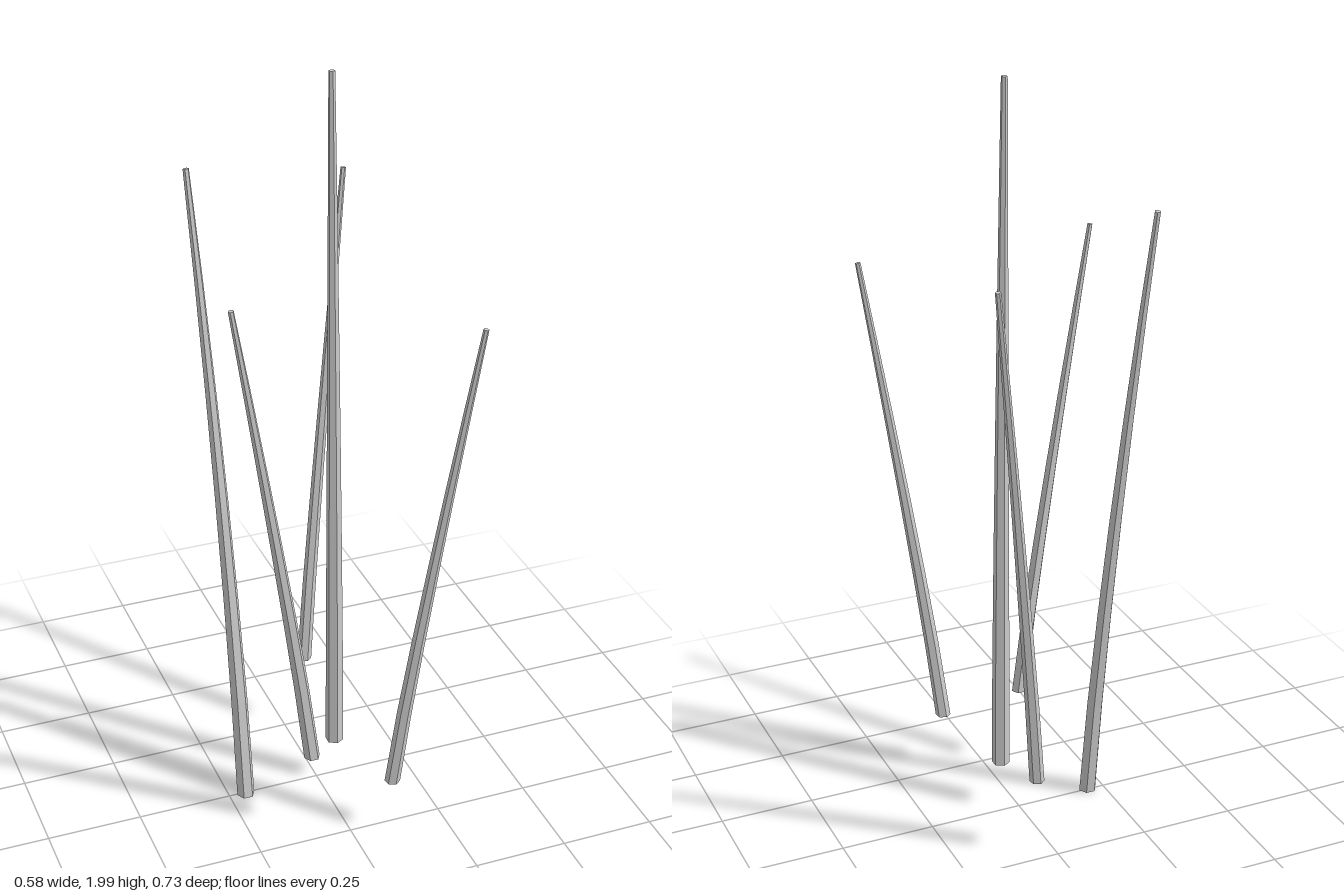
import * as THREE from 'three';

const material = new THREE.MeshStandardMaterial({ color: 0xcccccc, flatShading: true });
const UP = new THREE.Vector3(0, 1, 0);

// Tapered six-sided stalk; bendX and bendZ are the powers by which it leans towards its tip
function makeStalk({ base, tip, r0, r1, bendX = 1.1, bendZ = 1.1, turn }) {
  const a = new THREE.Vector3(...base);
  const d = new THREE.Vector3(...tip).sub(a);
  // By default one corner of the section points along the lean
  const start = turn ?? Math.atan2(d.x, d.z);
  const geometry = new THREE.CylinderGeometry(1, 1, 1, 6, 6, false, start);
  const pos = geometry.attributes.position;
  const p = new THREE.Vector3();
  const q = new THREE.Quaternion();
  const tangent = new THREE.Vector3();
  for (let i = 0; i < pos.count; i++) {
    p.fromBufferAttribute(pos, i);
    const t = Math.min(1, Math.max(0, p.y + 0.5));
    const r = r0 + (r1 - r0) * t ** 1.25;
    tangent.set(d.x * bendX * t ** (bendX - 1), d.y, d.z * bendZ * t ** (bendZ - 1)).normalize();
    q.setFromUnitVectors(UP, tangent);
    p.set(p.x * r, 0, p.z * r).applyQuaternion(q);
    pos.setXYZ(i,
      p.x + a.x + d.x * t ** bendX,
      p.y + a.y + d.y * t,
      p.z + a.z + d.z * t ** bendZ);
  }
  geometry.computeVertexNormals();
  return new THREE.Mesh(geometry, material);
}

export function createModel() {
  const model = new THREE.Group();
  model.name = 'stalks';
  const stalks = {
    centreStalk: { base: [0.041, 0.138, 0.027], tip: [0.041, 1.999, -0.01], r0: 0.024, r1: 0.008, bendZ: 1.3 },
    rightTallStalk: { base: [-0.205, 0.005, 0.004], tip: [-0.24, 1.708, -0.254], r0: 0.024, r1: 0.008, bendX: 1.9, turn: Math.PI / 2 },
    rightFrontStalk: { base: [-0.09, 0.236, 0.202], tip: [-0.286, 1.539, 0.202], r0: 0.021, r1: 0.007 },
    leftBackStalk: { base: [0.053, 0.23, -0.233], tip: [0.21, 1.608, -0.36], r0: 0.019, r1: 0.007 },
    leftFrontStalk: { base: [0.103, 0.162, 0.281], tip: [0.283, 1.465, 0.357], r0: 0.02, r1: 0.007 },
  };
  for (const [name, spec] of Object.entries(stalks)) {
    const stalk = makeStalk(spec);
    stalk.name = name;
    model.add(stalk);
  }
  return model;
}
